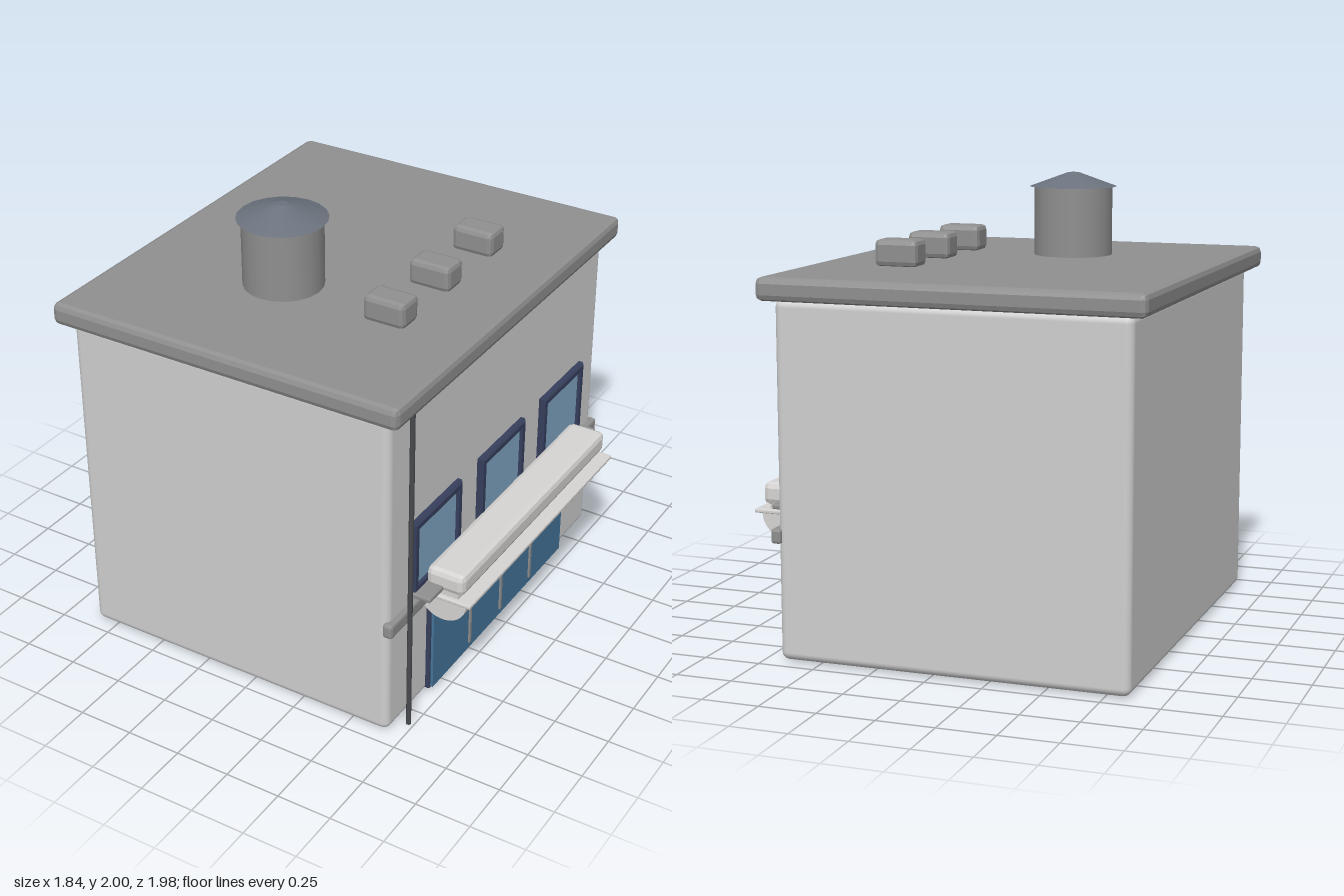
import * as THREE from 'three';
import { RoundedBoxGeometry } from 'three/addons/geometries/RoundedBoxGeometry.js';

const mat = (name, color, side = THREE.FrontSide) => {
  const m = new THREE.MeshStandardMaterial({ color, side });
  m.name = name;
  return m;
};

export function createModel() {
  const model = new THREE.Group();
  model.name = 'building';

  const wall = mat('wall light grey', 0xcfcfcf);
  const roofGrey = mat('roof grey', 0x8f8f8f);
  const capGrey = mat('tank cap slate', 0x6b727d);
  const pipeGrey = mat('pipe dark grey', 0x484a4e);
  const frameNavy = mat('window frame navy', 0x363f5c);
  const glass = mat('window glass', 0x7fa6c2);
  const doorBlue = mat('door blue', 0x467599);
  const awningGrey = mat('awning pale grey', 0xd6d4d2);

  const add = (name, geo, material, x = 0, y = 0, z = 0, parent = model) => {
    const m = new THREE.Mesh(geo, material);
    m.name = name;
    m.position.set(x, y, z);
    parent.add(m);
    return m;
  };
  // Box given by its extents; bevel 0 is sharp, 1 segment is a flat chamfer, more is a smooth round
  const box = (name, material, [x0, x1], [y0, y1], [z0, z1], bevel = 0, segments = 1, parent = model) => {
    const size = [x1 - x0, y1 - y0, z1 - z0];
    const geo = bevel ? new RoundedBoxGeometry(...size, segments, bevel) : new THREE.BoxGeometry(...size);
    if (bevel && segments === 1) geo.computeVertexNormals();
    return add(name, geo, material, (x0 + x1) / 2, (y0 + y1) / 2, (z0 + z1) / 2, parent);
  };

  // Main block and roof slab
  box('walls', wall, [-0.855, 0.68], [0.005, 1.54], [-0.94, 0.94], 0.035, 3);
  box('roof', roofGrey, [-0.922, 0.743], [1.533, 1.632], [-0.988, 0.988], 0.026);

  // Water tank with a shallow conical cap
  add('tank', new THREE.CylinderGeometry(0.175, 0.175, 0.32, 20), roofGrey, -0.2, 1.78, 0.33);
  add('tankCap', new THREE.CylinderGeometry(0.025, 0.196, 0.062, 20), capGrey, -0.2, 1.969, 0.33);

  // Row of roof vents
  for (const z of [-0.375, 0, 0.372]) {
    box('roofVent', roofGrey, [0.25, 0.446], [1.63, 1.746], [z - 0.065, z + 0.065], 0.022);
  }

  // Drain pipe at the front corner
  add('drainPipe', new THREE.CylinderGeometry(0.011, 0.011, 1.54, 10), pipeGrey, 0.725, 0.77, 0.835);

  // Horizontal band and shared window sill
  box('wallBand', roofGrey, [0.66, 0.706], [0.51, 0.575], [-0.953, 0.953], 0.012);
  box('windowSill', roofGrey, [0.67, 0.785], [0.614, 0.636], [-0.777, 0.777], 0.006);

  // Upper windows: bevelled frame with a recessed pane
  const frameShape = new THREE.Shape();
  const hw = 0.19, hh = 0.165;
  frameShape.moveTo(-hw, -hh).lineTo(hw, -hh).lineTo(hw, hh).lineTo(-hw, hh).closePath();
  const hole = new THREE.Path();
  const iw = 0.168, ih = 0.143;
  hole.moveTo(-iw, -ih).lineTo(-iw, ih).lineTo(iw, ih).lineTo(iw, -ih).closePath();
  frameShape.holes.push(hole);
  const frameGeo = new THREE.ExtrudeGeometry(frameShape, {
    depth: 0.03, bevelEnabled: true, bevelThickness: 0.009, bevelSize: 0.009, bevelSegments: 1,
  });
  for (const z of [-0.572, 0.002, 0.572]) {
    const win = new THREE.Group();
    win.name = 'window';
    win.position.set(0.67, 0.796, z);
    win.rotation.y = Math.PI / 2;
    model.add(win);
    add('windowFrame', frameGeo, frameNavy, 0, 0, 0, win);
    add('windowPane', new THREE.BoxGeometry(0.345, 0.295, 0.02), glass, 0, 0, 0.017, win);
  }

  // Shop door: dark surround, blue panel and three slim mullions
  box('doorSurround', frameNavy, [0.67, 0.7], [0.022, 0.52], [-0.617, 0.617], 0.006);
  box('doorPanel', doorBlue, [0.675, 0.712], [0.032, 0.51], [-0.607, 0.607]);
  for (const z of [-0.285, 0, 0.285]) {
    box('doorMullion', roofGrey, [0.705, 0.72], [0.065, 0.5], [z - 0.007, z + 0.007]);
  }

  // Awning: housing box, thin shelf and a half barrel below
  const awning = new THREE.Group();
  awning.name = 'awning';
  model.add(awning);
  box('awningHousing', awningGrey, [0.7, 0.878], [0.605, 0.704], [-0.677, 0.667], 0.026, 1, awning);
  box('awningNeck', awningGrey, [0.67, 0.85], [0.582, 0.62], [-0.66, 0.655], 0, 1, awning);
  box('awningShelf', awningGrey, [0.67, 0.916], [0.567, 0.585], [-0.68, 0.675], 0.005, 1, awning);
  const barrelShape = new THREE.Shape();
  barrelShape.absarc(0, 0, 0.112, Math.PI, Math.PI * 2, false);
  barrelShape.closePath();
  const barrelGeo = new THREE.ExtrudeGeometry(barrelShape, { depth: 1.315, bevelEnabled: false, curveSegments: 24 });
  add('awningBarrel', barrelGeo, awningGrey, 0.778, 0.57, -0.658, awning);

  return model;
}
